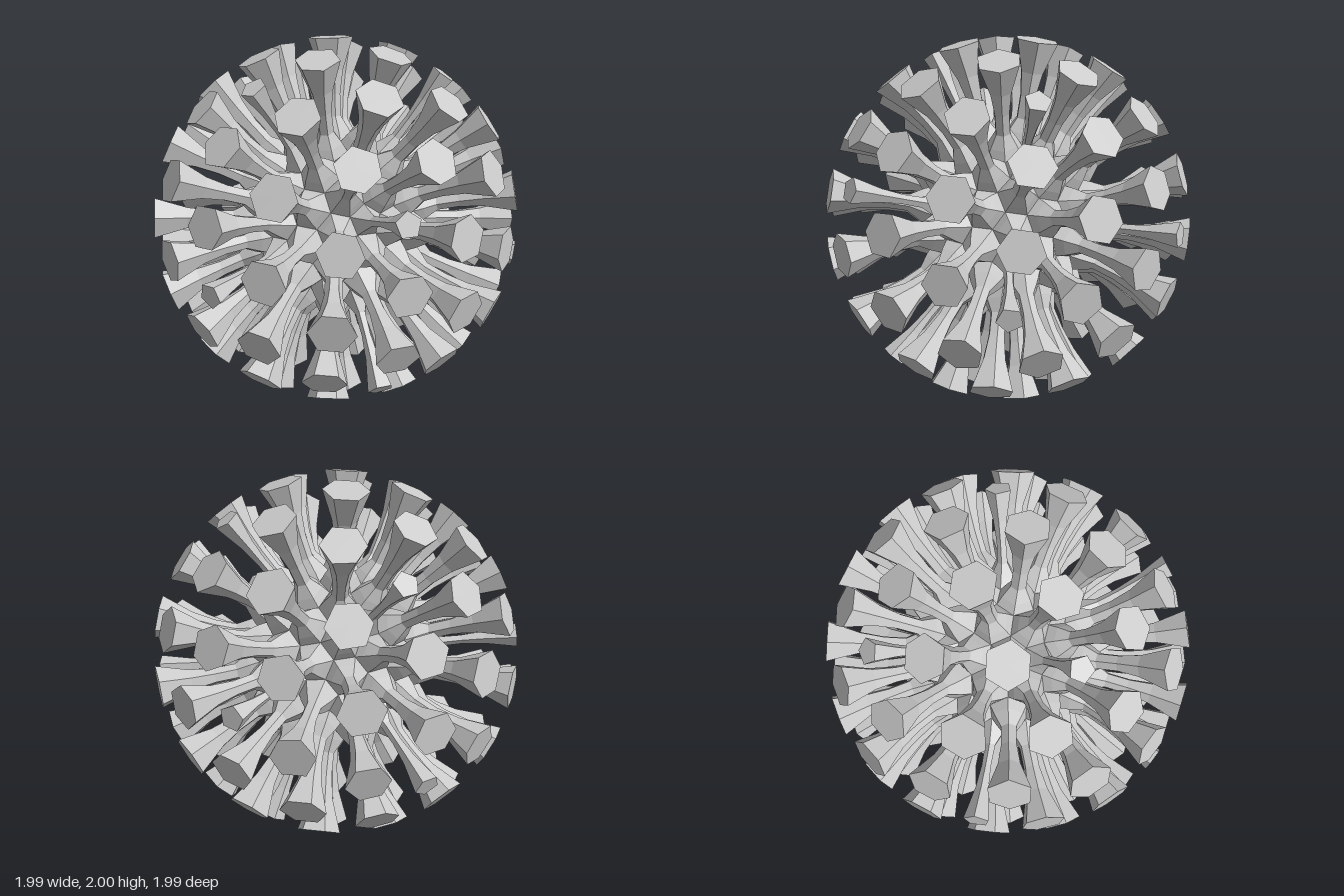
import * as THREE from 'three';

const BODY_RADIUS = 0.46;
// Spike rings: [distance from centre, width relative to the cell, pentagon width factor]
const RINGS = [
  [0.5, 0.36, 0.9],
  [0.57, 0.19, 0.8],
  [0.69, 0.19, 0.72],
  [0.82, 0.27, 0.72],
  [0.992, 0.51, 0.72],
];

// One cell per vertex of a geodesic sphere: its direction and its ordered corners
function geodesicCells() {
  const pos = new THREE.IcosahedronGeometry(1, 2).getAttribute('position');
  const cells = new Map();
  for (let i = 0; i < pos.count; i += 3) {
    const tri = [0, 1, 2].map((k) => new THREE.Vector3().fromBufferAttribute(pos, i + k));
    const corner = new THREE.Vector3().add(tri[0]).add(tri[1]).add(tri[2]).normalize();
    for (const v of tri) {
      const key = [v.x, v.y, v.z].map((n) => Math.round(n * 1000)).join();
      if (!cells.has(key)) cells.set(key, { dir: v.clone().normalize(), corners: [] });
      cells.get(key).corners.push(corner);
    }
  }
  for (const { dir, corners } of cells.values()) {
    const u = corners[0].clone().projectOnPlane(dir).normalize();
    const w = dir.clone().cross(u);
    const angle = (c) => Math.atan2(c.dot(w), c.dot(u));
    corners.sort((a, b) => angle(a) - angle(b));
  }
  return [...cells.values()];
}

// Loft from the cell outline on the body, through the neck, to the flared flat tip
function spikeGeometry({ dir, corners }) {
  const n = corners.length;
  const loops = [corners.map((c) => c.clone().multiplyScalar(BODY_RADIUS))];
  for (const [r, width, pent] of RINGS) {
    const s = width * (n === 5 ? pent : 1);
    loops.push(corners.map((c) =>
      c.clone().projectOnPlane(dir).multiplyScalar(s).addScaledVector(dir, r)));
  }
  const points = loops.flat();
  points.push(dir.clone().multiplyScalar(RINGS[RINGS.length - 1][0]));
  const index = [];
  const top = (loops.length - 1) * n;
  for (let j = 0; j < n; j++) {
    const k = (j + 1) % n;
    for (let i = 0; i < top; i += n) {
      index.push(i + j, i + k, i + n + k, i + j, i + n + k, i + n + j);
    }
    index.push(top + j, top + k, points.length - 1);
  }
  const geo = new THREE.BufferGeometry().setFromPoints(points);
  geo.setIndex(index);
  const flat = geo.toNonIndexed();
  flat.computeVertexNormals();
  return flat;
}

export function createModel() {
  const model = new THREE.Group();
  model.name = 'spikyBall';
  const material = new THREE.MeshStandardMaterial({ color: 0xcccccc, flatShading: true });

  // Slight tilt of the whole ball
  const x = new THREE.Vector3(1, -0.03, 0.012).normalize();
  const z = new THREE.Vector3(-0.018, -0.2, 0.98).projectOnPlane(x).normalize();
  const tilt = new THREE.Matrix4().makeBasis(x, z.clone().cross(x), z);

  for (const cell of geodesicCells()) {
    const spike = new THREE.Mesh(spikeGeometry(cell).applyMatrix4(tilt), material);
    spike.name = cell.corners.length === 5 ? 'pentagonalSpike' : 'hexagonalSpike';
    model.add(spike);
  }

  // Rest on the ground, centred
  model.position.y = -new THREE.Box3().setFromObject(model).min.y;
  return model;
}
